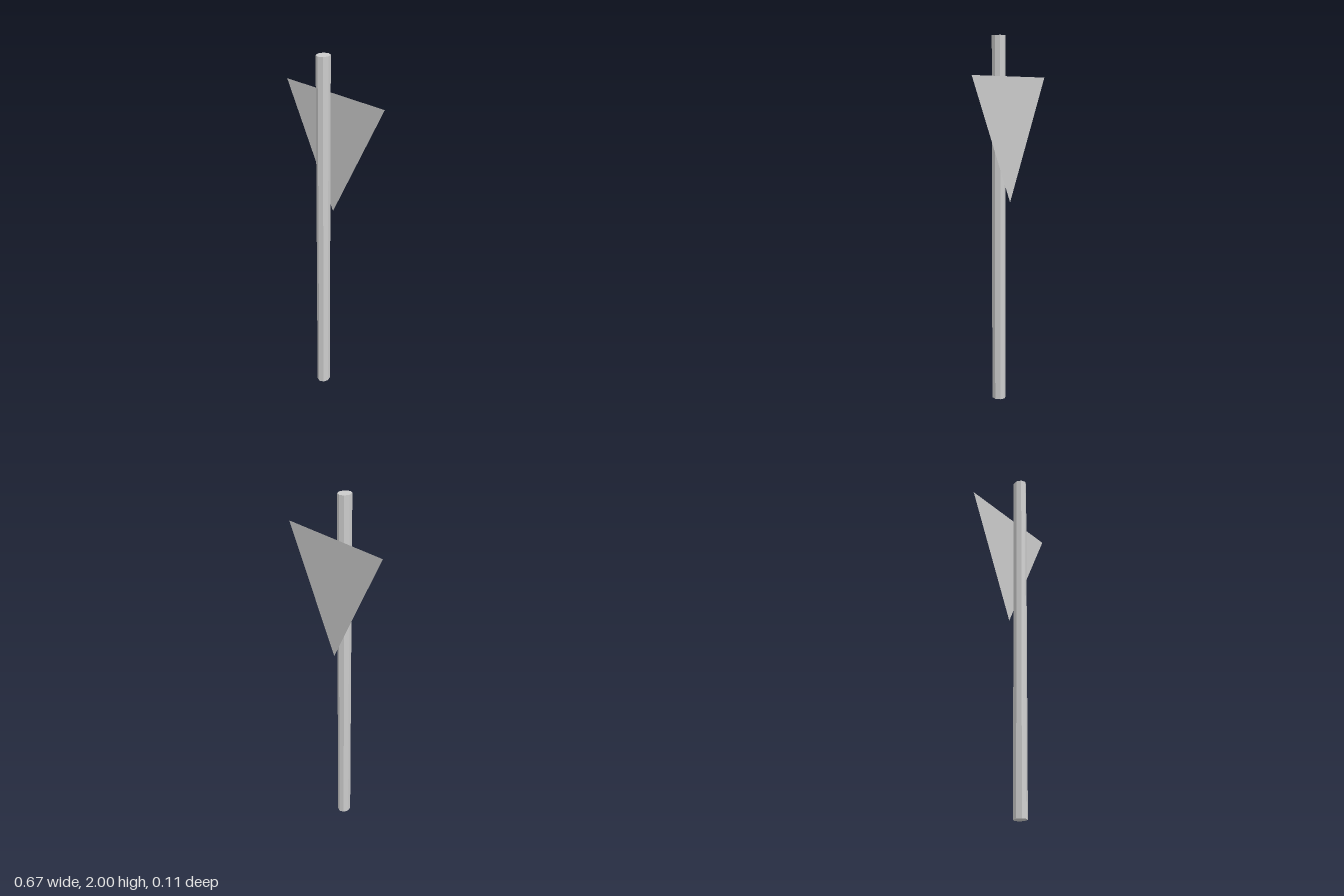
import * as THREE from 'three';

export function createModel() {
  const group = new THREE.Group();

  // Eight-sided pole, slightly deeper than wide
  const pole = new THREE.Mesh(
    new THREE.CylinderGeometry(1, 1, 2, 8),
    new THREE.MeshStandardMaterial({ color: 0xcccccc, flatShading: true })
  );
  pole.name = 'pole';
  pole.scale.set(0.035, 1, 0.039);
  pole.position.set(0, 1, 0.018);
  group.add(pole);

  // Thin triangular sign plate, point down, standing just behind the pole
  const outline = new THREE.Shape([
    new THREE.Vector2(0, 1.115),
    new THREE.Vector2(0.335, 1.785),
    new THREE.Vector2(-0.335, 1.785),
  ]);
  const plate = new THREE.Mesh(
    new THREE.ShapeGeometry(outline),
    new THREE.MeshStandardMaterial({ color: 0xcccccc, side: THREE.DoubleSide })
  );
  plate.name = 'signPlate';
  plate.position.z = -0.057;
  group.add(plate);

  return group;
}
